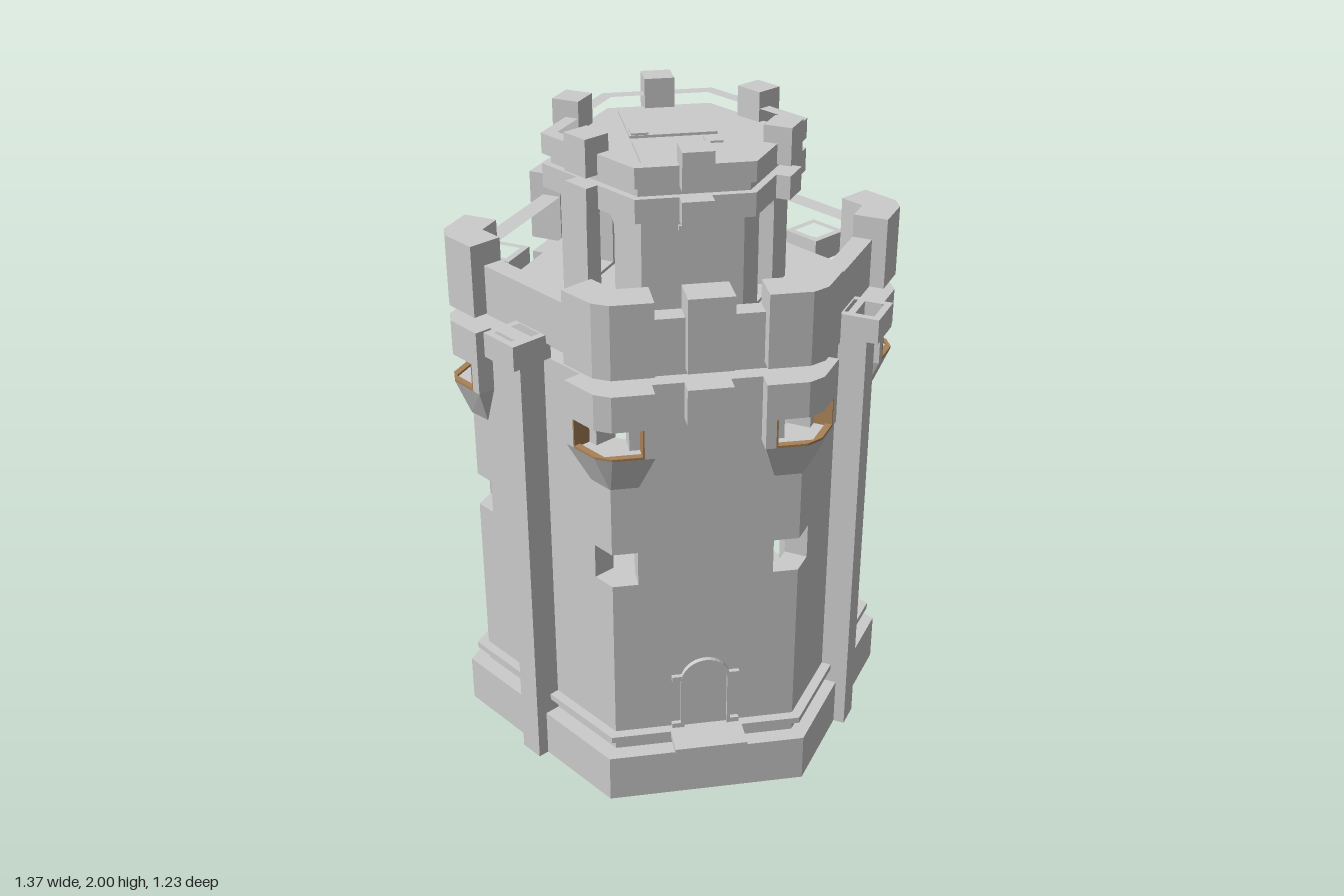
import * as THREE from 'three';
import { ConvexGeometry } from 'three/addons/geometries/ConvexGeometry.js';

const stone = new THREE.MeshStandardMaterial({ color: 0xcccccc, flatShading: true });
const wood = new THREE.MeshStandardMaterial({ color: 0xa98258, flatShading: true });
const NX = 0.835, NZ = 0.551; // outward normal of the slanted faces
const OUT = 0.055; // overhang of the corner turrets

// Hexagonal plan, grown or shrunk from the main wall by an offset; points are [x, z]
function hex(off) {
  const apo = 0.53 + off, c = 0.522 + off;
  const R = c / NX, h = (c - NZ * apo) / NX;
  return [[R, 0], [h, apo], [-h, apo], [-R, 0], [-h, -apo], [h, -apo]];
}

// Face i runs from corner i to corner i + 1
function face(i) {
  const pts = hex(0), a = pts[i % 6], b = pts[(i + 1) % 6];
  const len = Math.hypot(b[0] - a[0], b[1] - a[1]);
  const d = [(b[0] - a[0]) / len, (b[1] - a[1]) / len];
  return { d, n: [d[1], -d[0]] };
}

// Point at distance l from an overhang corner, along the next (s = 1) or previous (s = -1) face
function at(i, s, l, off) {
  const v = hex(OUT)[i % 6], f = face((s > 0 ? i : i + 5) % 6), k = OUT - off;
  return [v[0] + s * f.d[0] * l - f.n[0] * k, v[1] + s * f.d[1] * l - f.n[1] * k];
}

// Chamfered plan that wraps around one corner
function cornerPlan(i, outer, inner, len, cut) {
  return [at(i, 1, len, outer), at(i, 1, cut, outer), at(i, -1, cut, outer), at(i, -1, len, outer),
    at(i, -1, len, inner), hex(inner)[i], at(i, 1, len, inner)];
}

const toVec = (pts) => pts.map(([x, z]) => new THREE.Vector2(x, -z));

// Upright prism from a plan in x and z
function prism(parent, name, plan, y0, y1, hole, material = stone) {
  const shape = new THREE.Shape(toVec(plan));
  if (hole) shape.holes.push(new THREE.Path(toVec(hole)));
  const g = new THREE.ExtrudeGeometry(shape, { depth: y1 - y0, bevelEnabled: false });
  g.rotateX(-Math.PI / 2).translate(0, y0, 0);
  return add(parent, name, g, material);
}

function add(parent, name, geometry, material = stone) {
  const mesh = new THREE.Mesh(geometry, material);
  mesh.name = name;
  parent.add(mesh);
  return mesh;
}

function box(parent, name, x0, x1, y0, y1, z0, z1) {
  const g = new THREE.BoxGeometry(x1 - x0, y1 - y0, z1 - z0);
  g.translate((x0 + x1) / 2, (y0 + y1) / 2, (z0 + z1) / 2);
  return add(parent, name, g);
}

// Group in the middle of face i: local z points outwards, zero lies on the offset plane
function onFace(parent, name, i, off) {
  const pts = hex(off), a = pts[i], b = pts[(i + 1) % 6], n = face(i).n;
  const g = new THREE.Group();
  g.name = name;
  g.position.set((a[0] + b[0]) / 2, 0, (a[1] + b[1]) / 2);
  g.rotation.y = Math.atan2(n[0], n[1]);
  g.userData.width = Math.hypot(b[0] - a[0], b[1] - a[1]);
  parent.add(g);
  return g;
}

// Outline with a round top
function arch(target, r, y0, top) {
  target.moveTo(-r, y0);
  target.lineTo(r, y0);
  target.lineTo(r, top - r);
  target.absarc(0, top - r, r, 0, Math.PI, false);
  target.lineTo(-r, y0);
  return target;
}

function extrude(shape, depth, z) {
  return new THREE.ExtrudeGeometry(shape, { depth, bevelEnabled: false, curveSegments: 8 }).translate(0, 0, z);
}

export function createModel() {
  const model = new THREE.Group();
  model.name = 'castleTower';
  const tower = new THREE.Group();
  tower.name = 'tower';
  tower.position.z = -0.032;
  model.add(tower);

  // Plinth, ledge and hollow main wall
  prism(tower, 'plinth', hex(0.05), 0, 0.155);
  prism(tower, 'plinthLedge', hex(0.03), 0.2, 0.22, hex(-0.03));
  for (const [y0, y1] of [[0.155, 0.75], [0.86, 1.2], [1.29, 1.4]])
    prism(tower, 'mainWall', hex(0), y0, y1, hex(-0.07));

  // Wall bands left open at the corners as windows
  for (const [y0, y1, gap] of [[0.75, 0.86, 0.105], [1.2, 1.29, 0.085]])
    for (let i = 0; i < 6; i++) {
      const j = (i + 1) % 6;
      prism(tower, 'windowBandWall', [at(i, 1, gap, 0), at(j, -1, gap, 0),
        at(j, -1, gap, -0.07), at(i, 1, gap, -0.07)], y0, y1);
    }

  // Deck and parapet
  prism(tower, 'deck', hex(-0.05), 1.395, 1.46);
  prism(tower, 'parapet', hex(0.01), 1.45, 1.6, hex(-0.05));

  // Corner lookouts with wrapped windows, and the large merlons above
  for (let i = 0; i < 6; i++) {
    const lookout = new THREE.Group();
    lookout.name = 'cornerLookout';
    tower.add(lookout);
    const level = (y, off, len) => cornerPlan(i, off, -0.03, len, 0.03)
      .filter((_, k) => k !== 5).map(([x, z]) => new THREE.Vector3(x, y, z));
    add(lookout, 'lookoutCorbel', new ConvexGeometry([...level(1.2, OUT, 0.15), ...level(1.08, 0.002, 0.11)]));
    prism(lookout, 'lookoutHood', cornerPlan(i, OUT, -0.03, 0.15, 0.03), 1.29, 1.4);
    for (const s of [1, -1]) {
      const post = (l0, l1) => [at(i, s, l0, OUT), at(i, s, l1, OUT), at(i, s, l1, -0.02), at(i, s, l0, -0.02)];
      prism(lookout, 'windowPost', post(0.12, 0.15), 1.2, 1.29);
      prism(lookout, 'windowLining', post(0.115, 0.12), 1.2, 1.29, null, wood);
    }
    prism(lookout, 'windowSill', cornerPlan(i, OUT, 0.035, 0.12, 0.03), 1.2, 1.207, null, wood);
    prism(tower, 'cornerMerlon', cornerPlan(i, OUT, -0.05, 0.15, 0.03), 1.45, 1.67);
  }

  // Middle merlons and their corbels, front and back
  for (const i of [1, 4]) {
    const g = onFace(tower, 'middleMerlon', i, 0);
    box(g, 'merlon', -0.065, 0.065, 1.45, 1.67, -0.05, 0.05);
    box(g, 'merlonCorbel', -0.065, 0.065, 1.29, 1.4, -0.02, 0.05);
  }

  // Downpipes with open hoppers on the slanted faces
  for (const i of [0, 2, 3, 5]) {
    const g = onFace(tower, 'downpipe', i, 0);
    box(g, 'pipe', -0.04, 0.04, 0, 1.42, -0.01, 0.085);
    const square = (r) => [[-r, 0.06 - r], [r, 0.06 - r], [r, 0.06 + r], [-r, 0.06 + r]];
    prism(g, 'hopper', square(0.066), 1.4, 1.475, square(0.045));
    prism(g, 'hopperFloor', square(0.05), 1.4, 1.425);
  }

  // Door, arched frame, hinge stones and step
  const door = onFace(tower, 'door', 1, 0);
  add(door, 'doorPanel', extrude(arch(new THREE.Shape(), 0.066, 0.22, 0.455), 0.012, -0.008));
  const frame = arch(new THREE.Shape(), 0.076, 0.22, 0.465);
  frame.holes.push(arch(new THREE.Path(), 0.066, 0.22, 0.455));
  add(door, 'doorFrame', extrude(frame, 0.03, -0.015));
  for (const s of [-1, 1])
    for (const y of [0.22, 0.395])
      box(door, 'frameStone', s * 0.085 - 0.018, s * 0.085 + 0.018, y, y + 0.016, -0.01, 0.014);
  box(door, 'doorStep', -0.11, 0.11, 0.2, 0.22, -0.03, 0.117);

  // Upper turret: arched openings in the slanted faces
  for (let i = 0; i < 6; i++) {
    const g = onFace(tower, 'turretWall', i, -0.242), w = g.userData.width / 2;
    const wall = new THREE.Shape([[-w, 1.45], [w, 1.45], [w, 1.8], [-w, 1.8]].map((p) => new THREE.Vector2(...p)));
    if (i % 3 !== 1) wall.holes.push(arch(new THREE.Path(), 0.06, 1.47, 1.785));
    else box(g, 'lintel', -0.042, 0.042, 1.75, 1.764, -0.01, 0.012);
    add(g, 'wall', extrude(wall, 0.05, -0.05));
  }

  // Turret crown: cornice, neck and parapet
  prism(tower, 'turretCornice', hex(-0.2), 1.79, 1.86);
  prism(tower, 'turretNeck', hex(-0.222), 1.855, 1.91);
  prism(tower, 'turretParapet', hex(-0.2), 1.89, 1.95, hex(-0.24));
  for (let i = 0; i < 6; i++) {
    const g = onFace(tower, 'turretMerlon', i, -0.2);
    box(g, 'merlon', -0.045, 0.045, 1.89, 2, -0.042, 0.042);
    box(g, 'merlonCorbel', -0.045, 0.045, 1.79, 1.86, -0.03, 0.042);
  }

  // Two roof hatches with a small corner block each
  for (const s of [-1, 1]) {
    const zMid = s * 0.143;
    box(tower, 'roofHatch', -0.13, 0.127, 1.905, 1.918, zMid - 0.121, zMid + 0.121);
    box(tower, 'hatchLatch', s * 0.1 - 0.025, s * 0.1 + 0.025, 1.915, 1.924, s * 0.05 - 0.025, s * 0.05 + 0.025);
  }
  return model;
}
